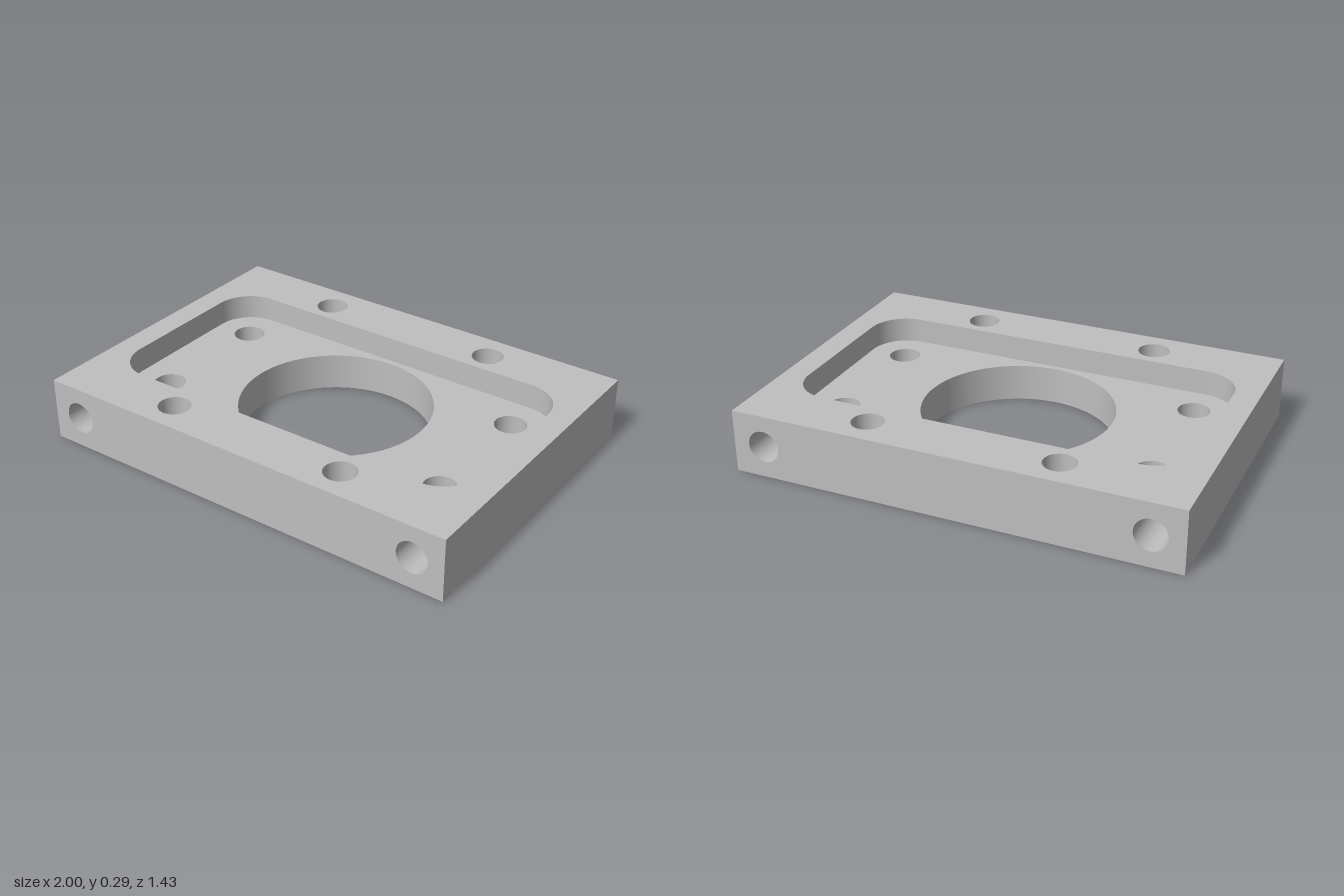
import * as THREE from 'three';

const W = 1, D = 0.714, H = 0.286;                 // half width, half depth, height
const FLOOR = 0.171;                               // pocket floor height
const PX = 0.886, PZ = 0.457, PR = 0.171;          // pocket half sizes and corner radius
const BORE = 0.43, R = 0.0714, SIDE_DEPTH = 0.23;
const SEG = 64;

export function createModel() {
  const group = new THREE.Group();
  const grey = new THREE.MeshStandardMaterial({ color: 0xbfbfbf, side: THREE.DoubleSide });
  grey.name = 'machined grey';

  const add = (name, geometry, x = 0, y = 0, z = 0) => {
    const mesh = new THREE.Mesh(geometry, grey);
    mesh.name = name;
    mesh.position.set(x, y, z);
    group.add(mesh);
    return mesh;
  };
  const rect = (w, h) => new THREE.Shape([[-w, -h], [w, -h], [w, h], [-w, h]].map(p => new THREE.Vector2(...p)));
  const rounded = () => {
    const s = new THREE.Shape(), a = PX - PR, b = PZ - PR, q = Math.PI / 2;
    [[a, b], [-a, b], [-a, -b], [a, -b]].forEach(([x, y], i) => s.absarc(x, y, PR, i * q, (i + 1) * q));
    s.closePath();
    return s;
  };
  const punch = (shape, points, r) => points.forEach(([x, y]) =>
    shape.holes.push(new THREE.Path().absarc(x, y, r, 0, Math.PI * 2)));
  const face = shape => new THREE.ShapeGeometry(shape, SEG / 2);
  const tube = (r, h) => new THREE.CylinderGeometry(r, r, h, SEG, 1, true);
  const mirrored = (x, z) => [[x, z], [-x, z], [x, -z], [-x, -z]];

  const rimHoles = mirrored(0.4286, 0.5714);
  const pocketHoles = mirrored(0.7143, 0.2857);

  // Horizontal faces
  const top = rect(W, D);
  top.holes.push(rounded());
  punch(top, rimHoles, R);
  add('topFace', face(top).rotateX(-Math.PI / 2), 0, H);

  const floor = rounded();
  punch(floor, pocketHoles, R);
  punch(floor, [[0, 0]], BORE);
  add('pocketFloor', face(floor).rotateX(-Math.PI / 2), 0, FLOOR);

  const bottom = rect(W, D);
  punch(bottom, [...rimHoles, ...pocketHoles], R);
  punch(bottom, [[0, 0]], BORE);
  add('bottomFace', face(bottom).rotateX(Math.PI / 2));

  // Vertical hole walls
  rimHoles.forEach(([x, z]) => add('rimHole', tube(R, H), x, H / 2, z));
  pocketHoles.forEach(([x, z]) => add('pocketHole', tube(R, FLOOR), x, FLOOR / 2, z));
  add('centreBore', tube(BORE, FLOOR), 0, FLOOR / 2, 0);

  // Pocket walls: four straight runs and four rounded corners
  const wallH = H - FLOOR, wallY = (H + FLOOR) / 2;
  for (const s of [1, -1]) {
    add('pocketLongWall', new THREE.PlaneGeometry(2 * (PX - PR), wallH), 0, wallY, s * PZ)
      .rotation.y = s > 0 ? Math.PI : 0;
    add('pocketShortWall', new THREE.PlaneGeometry(2 * (PZ - PR), wallH), s * PX, wallY, 0)
      .rotation.y = -s * Math.PI / 2;
  }
  [[1, 1], [1, -1], [-1, -1], [-1, 1]].forEach(([sx, sz], i) => add('pocketCorner',
    new THREE.CylinderGeometry(PR, PR, wallH, 32, 1, true, i * Math.PI / 2, Math.PI / 2),
    sx * (PX - PR), wallY, sz * (PZ - PR)));

  // Outer sides, with blind holes in the front and back
  for (const s of [1, -1]) {
    add('endFace', new THREE.PlaneGeometry(2 * D, H), s * W, H / 2, 0).rotation.y = s * Math.PI / 2;

    const long = rect(W, H / 2);
    punch(long, [[0.857, 0], [-0.857, 0]], R);
    add(s > 0 ? 'frontFace' : 'backFace', face(long), 0, H / 2, s * D).rotation.y = s > 0 ? 0 : Math.PI;

    for (const x of [0.857, -0.857]) {
      add('sideHole', tube(R, SIDE_DEPTH).rotateX(Math.PI / 2), x, H / 2, s * (D - SIDE_DEPTH / 2));
      add('sideHoleEnd', new THREE.CircleGeometry(R, SEG), x, H / 2, s * (D - SIDE_DEPTH))
        .rotation.y = s > 0 ? 0 : Math.PI;
    }
  }
  return group;
}
